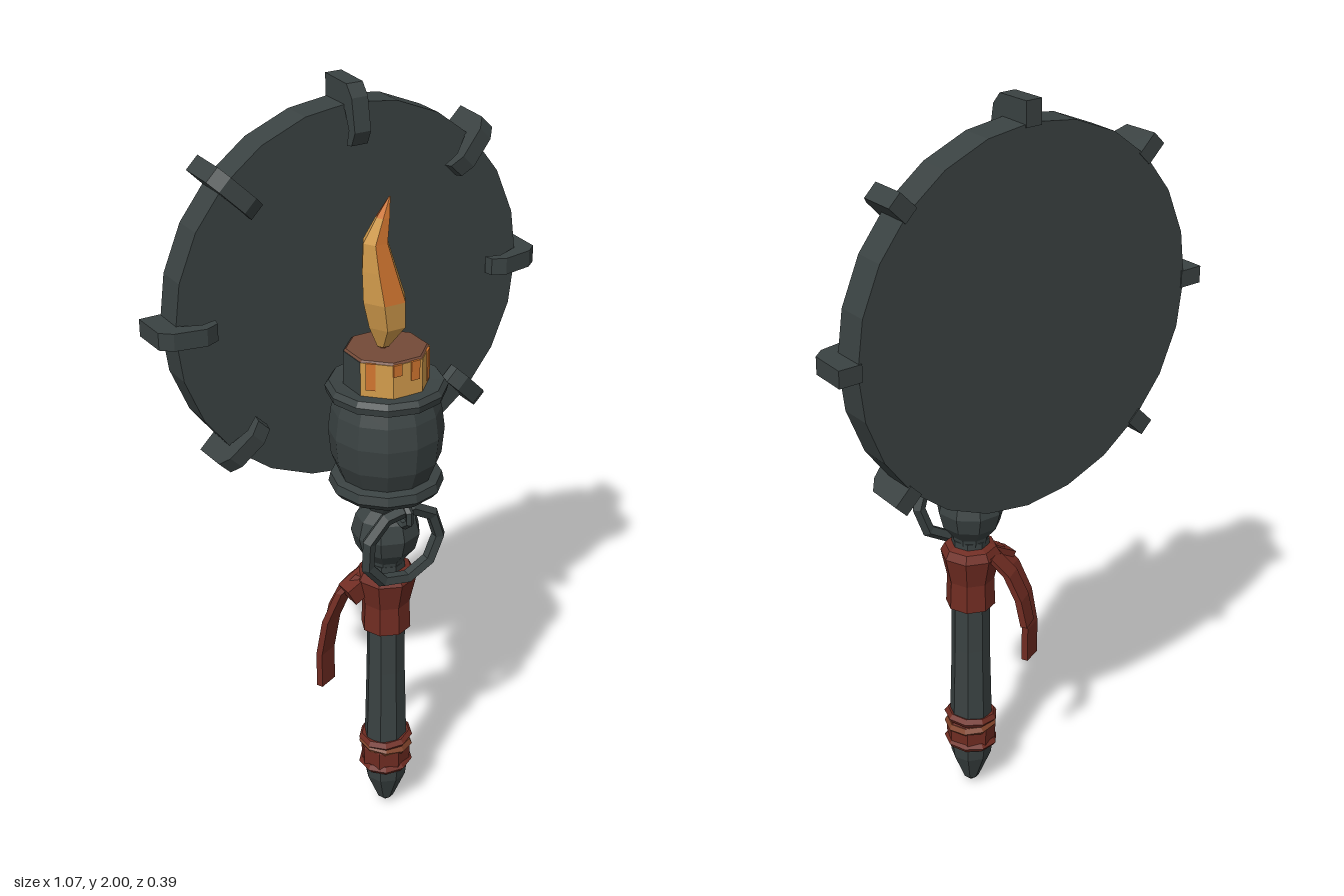
import * as THREE from 'three';

const mat = (name, color) => {
  const m = new THREE.MeshStandardMaterial({ color });
  m.name = name;
  return m;
};

// Faceted normals for the low-poly look
const flat = (geo) => {
  const g = geo.index ? geo.toNonIndexed() : geo;
  g.computeVertexNormals();
  return g;
};

// Skin over loops of [x, y, z], listed bottom to top, each counter-clockwise seen from above.
// pick(row, side) chooses the material index of each quad.
function loft(loops, pick = () => 0) {
  const geo = new THREE.BufferGeometry();
  const pos = [];
  const n = loops[0].length;
  const tri = (a, b, c, m) => {
    geo.addGroup(pos.length / 3, 3, m);
    pos.push(...a, ...b, ...c);
  };
  for (let r = 0; r < loops.length - 1; r++) {
    for (let i = 0; i < n; i++) {
      const j = (i + 1) % n;
      const m = pick(r, i);
      tri(loops[r][i], loops[r][j], loops[r + 1][j], m);
      tri(loops[r][i], loops[r + 1][j], loops[r + 1][i], m);
    }
  }
  const bottom = loops[0], top = loops[loops.length - 1];
  for (let i = 1; i < n - 1; i++) {
    tri(bottom[0], bottom[i + 1], bottom[i], pick(0, i));
    tri(top[0], top[i], top[i + 1], pick(loops.length - 2, i));
  }
  geo.setAttribute('position', new THREE.Float32BufferAttribute(pos, 3));
  geo.computeVertexNormals();
  return geo;
}

export function createModel() {
  const metal = mat('darkIron', 0x3a4242);
  const cloth = mat('redCloth', 0x702c22);
  const rust = mat('rustLeather', 0x80432a);
  const wax = mat('paleWax', 0xd39c4c);
  const orange = mat('orange', 0xd0752f);
  const brown = mat('brownWax', 0x744a38);
  const ember = mat('ember', 0x8a4420);

  const model = new THREE.Group();
  const torch = new THREE.Group();
  torch.name = 'torch';
  torch.position.z = 0.045;
  model.add(torch);

  const add = (parent, name, geo, material, x = 0, y = 0, z = 0) => {
    const mesh = new THREE.Mesh(flat(geo), material);
    mesh.name = name;
    mesh.position.set(x, y, z);
    parent.add(mesh);
    return mesh;
  };
  const lathe = (name, points, sides, material) =>
    add(torch, name, new THREE.LatheGeometry(points.map(p => new THREE.Vector2(...p)), sides), material);

  // Round back plate
  const plate = new THREE.CylinderGeometry(0.485, 0.485, 0.083, 24);
  plate.rotateX(Math.PI / 2);
  add(model, 'backPlate', plate, metal, 0, 1.46, -0.153);

  // Hooked claws round the plate, none at the bottom
  const hook = new THREE.Shape([
    [0.475, -0.198], [0.537, -0.198], [0.534, -0.1], [0.505, -0.076], [0.425, -0.062],
    [0.39, -0.078], [0.385, -0.1], [0.425, -0.09], [0.47, -0.108], [0.483, -0.135],
  ].map(p => new THREE.Vector2(...p)));
  const claws = new THREE.Group();
  claws.name = 'claws';
  claws.position.y = 1.46;
  model.add(claws);
  for (let i = -1; i <= 5; i++) {
    const geo = new THREE.ExtrudeGeometry(hook, { depth: 0.044, bevelEnabled: false });
    geo.translate(0, 0, -0.022);
    geo.rotateX(Math.PI / 2);
    add(claws, 'claw', geo, metal).rotation.z = i * Math.PI / 4;
  }

  // Pommel and shaft
  lathe('pommel', [[0, 0], [0.022, 0.02], [0.055, 0.1], [0.06, 0.14], [0, 0.15]], 8, metal);
  lathe('shaft', [[0, 0.13], [0.06, 0.13], [0.052, 0.45], [0.05, 0.78], [0, 0.78]], 8, metal);

  // Lower grip binding
  lathe('lowerBinding', [[0.05, 0.13], [0.066, 0.145], [0.068, 0.2], [0.055, 0.225]], 8, cloth);
  for (const [y, m, tilt] of [[0.147, cloth, 0.06], [0.205, rust, -0.1], [0.227, cloth, 0.08]]) {
    const ring = new THREE.TorusGeometry(0.06, 0.013, 5, 9);
    ring.rotateX(Math.PI / 2);
    add(torch, 'bindingRing', ring, m, 0, y).rotation.z = tilt;
  }

  // Upper cloth wrap
  lathe('upperWrap', [[0.05, 0.58], [0.066, 0.582], [0.063, 0.66], [0.08, 0.735], [0.068, 0.757], [0.045, 0.765]], 8, cloth);

  // Hanging cloth tails: centre points from the bottom up, w is the half width across
  const tail = (name, path, w) => {
    const len = Math.hypot(w[0], w[1]);
    const t = [w[1] / len * 0.009, -w[0] / len * 0.009];
    const loops = path.map(([x, y, z]) => [[1, -1], [1, 1], [-1, 1], [-1, -1]].map(
      ([a, b]) => [x + a * w[0] + b * t[0], y, z + a * w[1] + b * t[1]]));
    add(model, name, loft(loops), cloth);
  };
  tail('longTail', [[-0.138, 0.4, -0.035], [-0.138, 0.5, -0.035], [-0.125, 0.6, -0.025], [-0.095, 0.69, -0.005], [-0.05, 0.745, 0.02]], [0.026, -0.012]);
  tail('shortTail', [[-0.09, 0.545, -0.085], [-0.082, 0.62, -0.07], [-0.062, 0.69, -0.045], [-0.03, 0.74, -0.01]], [0.023, -0.014]);
  const fold = new THREE.BoxGeometry(0.09, 0.05, 0.05);
  add(torch, 'clothKnot', fold, cloth, -0.065, 0.715, -0.02).rotation.z = 0.5;

  // Ball joint and neck
  lathe('ballJoint', [[0.045, 0.76], [0.05, 0.79], [0.078, 0.825], [0.09, 0.87], [0.078, 0.915], [0.05, 0.94], [0.072, 0.975], [0.085, 1.01]], 9, metal);

  // Hanging ring and its loop
  add(torch, 'hangingRing', new THREE.TorusGeometry(0.108, 0.018, 5, 9), metal, 0, 0.862, 0.08).rotation.x = 0.08;
  const loop = new THREE.TorusGeometry(0.032, 0.011, 5, 7);
  loop.rotateY(Math.PI / 2);
  add(torch, 'ringLoop', loop, metal, 0, 0.953, 0.082);

  // Cup with flared rims
  lathe('cup', [
    [0, 0.995], [0.13, 0.995], [0.145, 1.012], [0.14, 1.035], [0.118, 1.04], [0.138, 1.09], [0.145, 1.16],
    [0.137, 1.22], [0.125, 1.255], [0.148, 1.26], [0.152, 1.278], [0.142, 1.292], [0.108, 1.288], [0, 1.285],
  ], 12, metal);

  // Candle: pale front faces, dark sides and back
  const octagon = (y, r) => Array.from({ length: 8 }, (_, i) => {
    const a = (i + 0.5) * Math.PI / 4;
    return [r * Math.cos(a), y, -r * Math.sin(a)];
  });
  add(torch, 'candle', loft([octagon(1.28, 0.107), octagon(1.375, 0.107)],
    (r, i) => (i >= 4 && i <= 6 ? 0 : 1)), [wax, metal]);
  add(torch, 'candleTop', loft([octagon(1.374, 0.106), octagon(1.38, 0.1)]), brown);

  // Molten drips on the front faces
  for (const [turn, x, h] of [[-1, -0.015, 0.07], [0, 0.02, 0.05], [0, -0.03, 0.03], [1, 0.015, 0.08]]) {
    const drip = new THREE.BoxGeometry(0.024, h, 0.006);
    drip.translate(x, 1.376 - h / 2, 0.099);
    drip.rotateY(turn * Math.PI / 4);
    add(torch, 'waxDrip', drip, orange);
  }
  add(torch, 'wick', new THREE.CylinderGeometry(0.008, 0.01, 0.04, 5), ember, -0.01, 1.39);

  // Flame: six-sided sections [x, y, z, radius] swaying up to a point
  const flame = [
    [-0.01, 1.385, 0, 0.016], [0, 1.44, 0.002, 0.05], [-0.01, 1.51, 0.005, 0.058],
    [-0.025, 1.59, 0.005, 0.046], [-0.036, 1.66, 0.007, 0.033], [-0.02, 1.72, 0.015, 0.018], [-0.005, 1.768, 0.02, 0.002],
  ].map(([x, y, z, r]) => Array.from({ length: 6 }, (_, i) => {
    const a = i * Math.PI / 3;
    return [x + r * Math.cos(a), y, z - r * Math.sin(a)];
  }));
  add(torch, 'flame', loft(flame, (r, i) => {
    if (r === 5) return i > 2 ? 1 : 2;
    if (r >= 2) return i === 4 || i === 1 ? 1 : 0;
    return 0;
  }), [wax, orange, ember]);

  return model;
}
